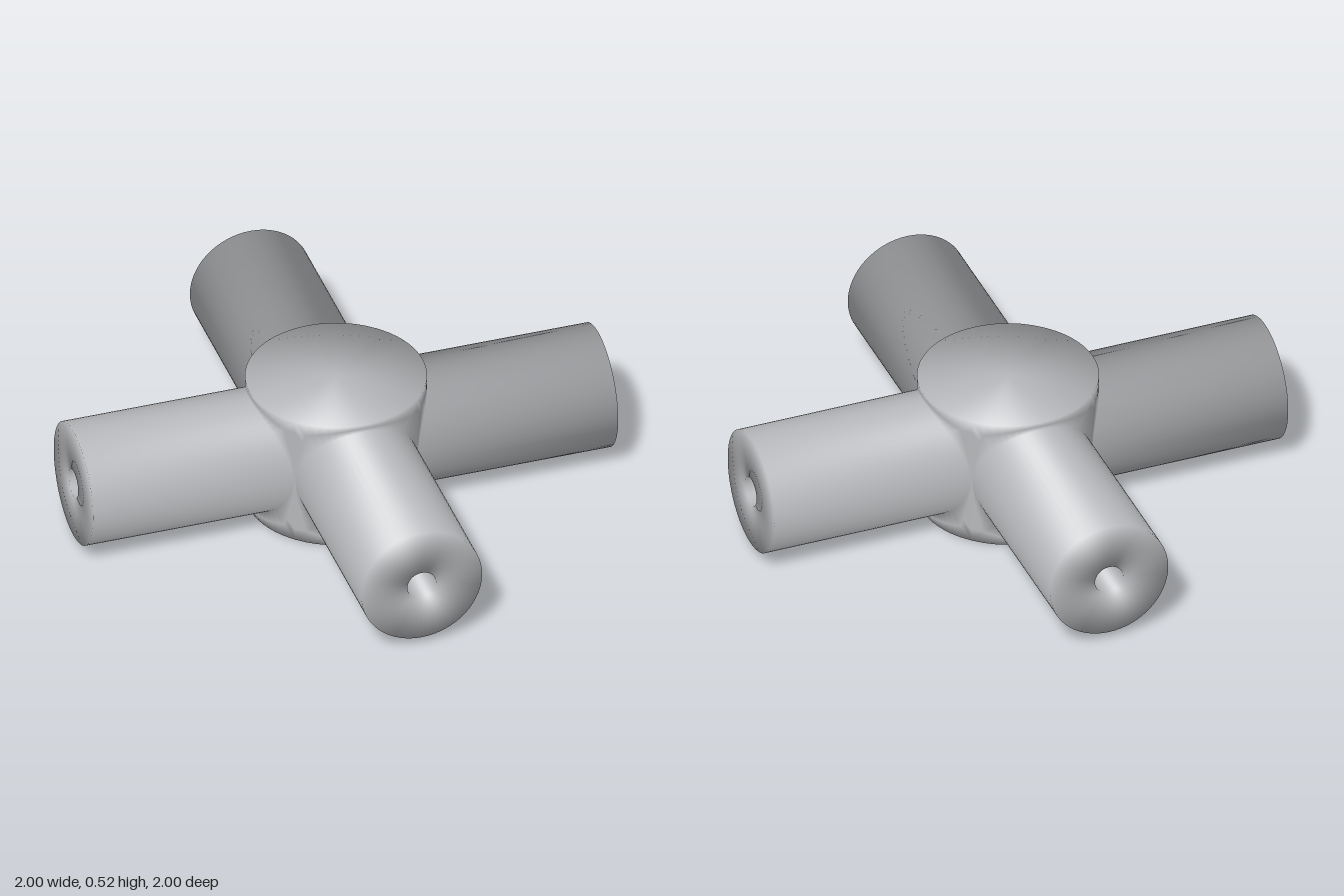
import * as THREE from 'three';
import { mergeVertices } from 'three/addons/utils/BufferGeometryUtils.js';

const SEGMENTS = 64;                       // around each arm
const MID_Y = 0.26;                        // height of the arm axes
const HUB_R = 0.33, HUB_H = 0.26;          // hub radius and half height
const ARM_R = 0.23, BORE_R = 0.055;        // arm and bore radii

// Point on the hub wall from an angle off the arm axis and a height
const onHub = (a, y) => new THREE.Vector3(HUB_R * Math.sin(a), y, HUB_R * Math.cos(a));

// Cross-sections of one quarter, from the hub's rim out along the arm and back down the bore
function quarterRings() {
  const rings = [[], [], [], [], [], []];
  for (let i = 0; i <= SEGMENTS; i++) {
    const t = (i / SEGMENTS) * Math.PI * 2;
    const c = Math.cos(t), s = Math.sin(t), m = Math.max(Math.abs(c), Math.abs(s));
    const rimA = (Math.PI / 4) * c / m, rimY = HUB_H * s / m;
    const armA = Math.asin(ARM_R * c / HUB_R), armY = ARM_R * s;
    rings[0].push(onHub(rimA, rimY));                                       // border of the hub quarter
    rings[1].push(onHub((rimA + armA) / 2, (rimY + armY) / 2));
    rings[2].push(onHub(armA, armY));                                       // arm meets hub
    rings[3].push(new THREE.Vector3(ARM_R * c, armY, 1));                   // arm end
    rings[4].push(new THREE.Vector3(BORE_R * c, BORE_R * s, 1));            // bore mouth
    rings[5].push(new THREE.Vector3(BORE_R * c, BORE_R * s, Math.abs(BORE_R * c))); // mitred bore crossing
  }
  return rings;
}

// Normals shared across all edges, weighted by the corner angles
function smoothNormals(geometry) {
  const pos = geometry.attributes.position, index = geometry.index;
  const normals = Array.from({ length: pos.count }, () => new THREE.Vector3());
  for (let f = 0; f < index.count; f += 3) {
    const ids = [0, 1, 2].map((k) => index.getX(f + k));
    const p = ids.map((id) => new THREE.Vector3().fromBufferAttribute(pos, id));
    const n = new THREE.Triangle(...p).getNormal(new THREE.Vector3());
    if (n.lengthSq() < 0.5) continue;
    ids.forEach((id, k) => {
      const u = p[(k + 1) % 3].clone().sub(p[k]);
      const v = p[(k + 2) % 3].clone().sub(p[k]);
      normals[id].addScaledVector(n, u.angleTo(v));
    });
  }
  const data = normals.flatMap((n) => n.normalize().toArray());
  geometry.setAttribute('normal', new THREE.Float32BufferAttribute(data, 3));
  return geometry;
}

function crossGeometry() {
  const rings = quarterRings();
  const triangles = [];
  for (let i = 0; i < SEGMENTS; i++) {
    for (let r = 0; r < rings.length - 1; r++) {
      const A = rings[r], B = rings[r + 1];
      triangles.push(A[i], A[i + 1], B[i + 1], A[i], B[i + 1], B[i]);
    }
    // Top and bottom of the hub
    const p = rings[0][i], q = rings[0][i + 1];
    if (Math.abs(p.y) > HUB_H - 1e-6 && Math.abs(p.y - q.y) < 1e-6) {
      triangles.push(new THREE.Vector3(0, p.y, 0), q, p);
    }
  }

  // Repeat the quarter around the hub
  const up = new THREE.Vector3(0, 1, 0);
  const points = [];
  for (let k = 0; k < 4; k++) {
    for (const v of triangles) {
      const w = v.clone().applyAxisAngle(up, k * Math.PI / 2);
      points.push(w.x, w.y + MID_Y, w.z);
    }
  }
  const geometry = new THREE.BufferGeometry();
  geometry.setAttribute('position', new THREE.Float32BufferAttribute(points, 3));
  return smoothNormals(mergeVertices(geometry, 1e-4));
}

export function createModel() {
  const group = new THREE.Group();
  group.name = 'fourWayPipeConnector';
  const grey = new THREE.MeshStandardMaterial({ color: 0xb8b9bc });
  grey.name = 'light grey';
  const body = new THREE.Mesh(crossGeometry(), grey);
  body.name = 'hubWithFourBoredArms';
  group.add(body);
  return group;
}
